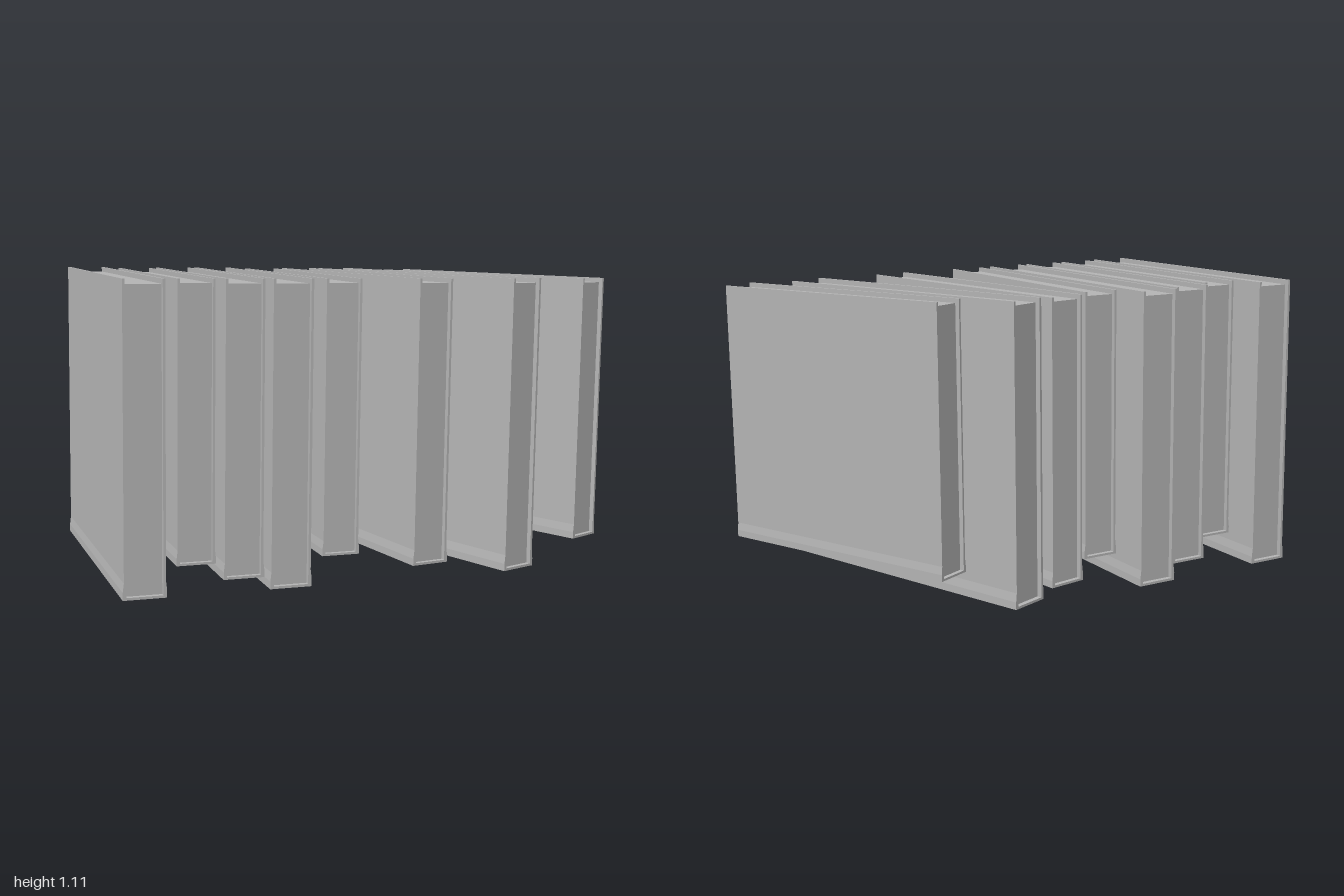
import * as THREE from 'three';

// Dimensions of the largest book; the others are scaled copies
const HEIGHT = 1.086, LENGTH = 1.122, WIDTH = 0.153;
const BOARD = 0.009, INSET = 0.018, HINGE = 0.004;
const TOP = 1.096; // all books share one top level

// U-shaped cover: spine underneath, a board on each side, stepping in at the hinge
function coverGeometry() {
  const half = [
    [WIDTH / 2, 0], [WIDTH / 2, 0.028], [WIDTH / 2 - HINGE, 0.06], [WIDTH / 2 - HINGE, HEIGHT],
    [WIDTH / 2 - HINGE - BOARD, HEIGHT], [WIDTH / 2 - HINGE - BOARD, BOARD],
  ];
  const mirrored = half.map(([x, y]) => [-x, y]).reverse();
  const shape = new THREE.Shape([...half, ...mirrored].map(([x, y]) => new THREE.Vector2(x, y)));
  const geometry = new THREE.ExtrudeGeometry(shape, { depth: LENGTH, bevelEnabled: false });
  return geometry.translate(WIDTH / 2, 0, -LENGTH);
}

// Page block, set back from the cover at the top and both ends
function pagesGeometry() {
  const height = HEIGHT - BOARD - INSET;
  const geometry = new THREE.BoxGeometry(WIDTH - 2 * (HINGE + BOARD), height, LENGTH - 2 * INSET);
  return geometry.translate(WIDTH / 2, BOARD + height / 2, -LENGTH / 2);
}

export function createModel() {
  const model = new THREE.Group();
  model.name = 'bookRow';
  const grey = new THREE.MeshStandardMaterial({ color: 0xb4b4b4 });
  grey.name = 'plain grey';

  const cover = coverGeometry();
  const pages = pagesGeometry();
  const scales = [1, 0.903, 0.958]; // three sizes in turn

  // Front left lower corner (x, z) and turn in degrees of each book
  const books = [
    [-0.845, 0.635, 7.5], [-0.66, 0.605, 7.6], [-0.495, 0.585, 7.6], [-0.328, 0.565, 7.5],
    [-0.137, 0.538, 7.7], [0.21, 0.493, 17.1], [0.575, 0.447, 27.6], [0.858, 0.408, 32.5],
  ];
  books.forEach(([x, z, turn], i) => {
    const book = new THREE.Group();
    book.name = `book${i + 1}`;
    const scale = scales[i % scales.length];
    book.scale.setScalar(scale);
    book.position.set(x, TOP - HEIGHT * scale, z);
    book.rotation.y = THREE.MathUtils.degToRad(turn);
    for (const [name, geometry] of [['cover', cover], ['pages', pages]]) {
      const mesh = new THREE.Mesh(geometry, grey);
      mesh.name = name;
      book.add(mesh);
    }
    model.add(book);
  });

  // The whole row leans very slightly
  model.rotation.set(-0.008, 0, -0.016);
  return model;
}
